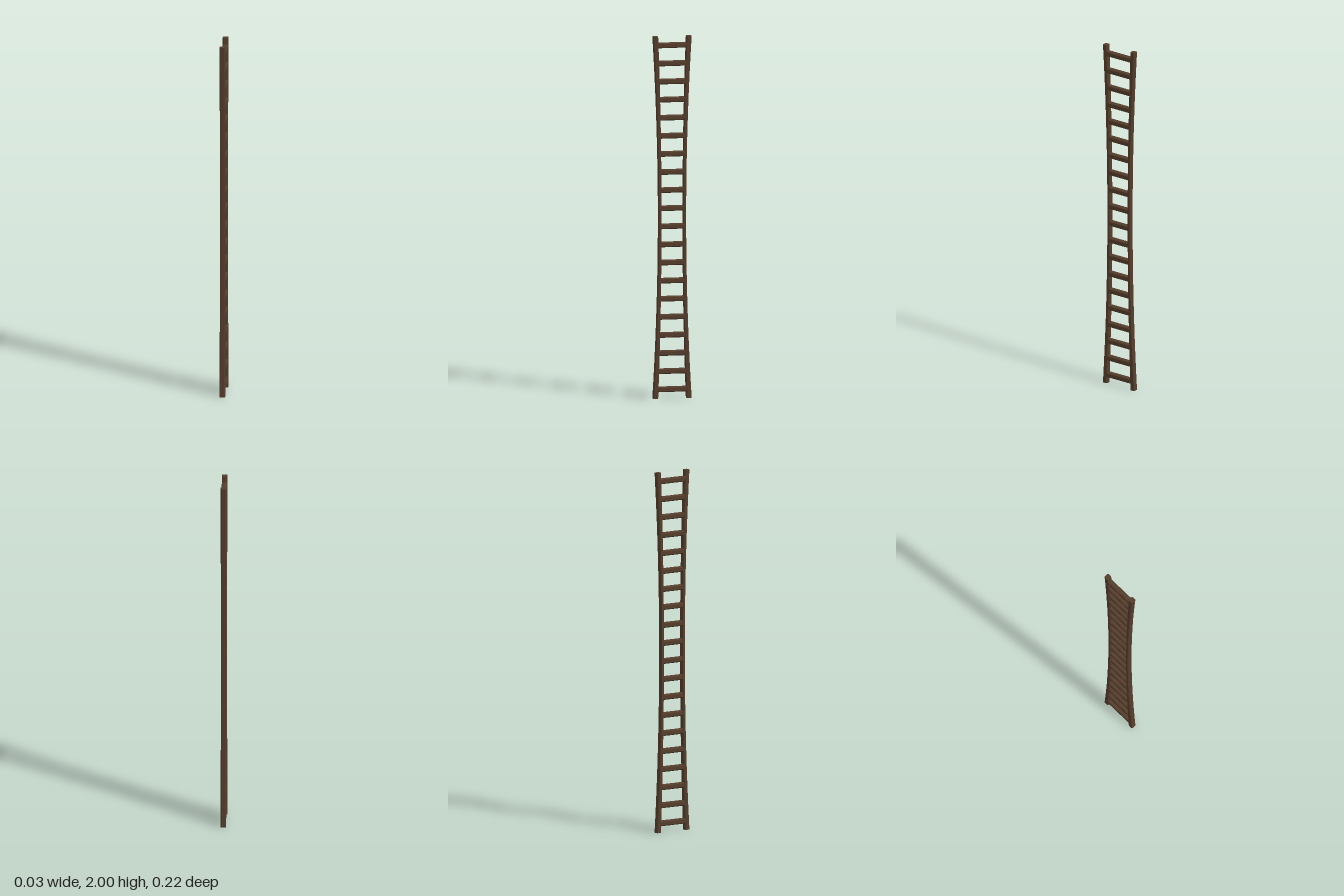
import * as THREE from 'three';

const HEIGHT = 2;
const RUNGS = 20;

// how far towards an end of the ladder a height is: 0 mid-way, 1 at the ends
const flare = (y) => Math.pow(Math.abs(y - HEIGHT / 2) / (HEIGHT / 2), 2);
const railCentre = (y) => 0.069 + 0.025 * flare(y);
const railHalf = (y) => 0.008 + 0.006 * flare(y);

// rectangle with cut corners
function chamferedRect(hw, hh, cx, cy) {
  return new THREE.Shape([
    [hw - cx, -hh], [hw, -hh + cy], [hw, hh - cy], [hw - cx, hh],
    [-hw + cx, hh], [-hw, hh - cy], [-hw, -hh + cy], [-hw + cx, -hh],
  ].map(([x, y]) => new THREE.Vector2(x, y)));
}

// upright post, bent outward and thickened towards both ends
function railGeometry(side) {
  const g = new THREE.ExtrudeGeometry(chamferedRect(0.015, 1, 0.004, 0.28), {
    depth: HEIGHT, steps: 20, bevelEnabled: false,
  });
  g.rotateX(-Math.PI / 2);
  const p = g.attributes.position;
  for (let i = 0; i < p.count; i++) {
    const y = p.getY(i);
    p.setZ(i, side * railCentre(y) + p.getZ(i) * railHalf(y));
  }
  g.computeVertexNormals();
  return g;
}

export function createModel() {
  const wood = new THREE.MeshStandardMaterial({ color: 0x553d2b, flatShading: true });
  const ladder = new THREE.Group();
  ladder.name = 'ladder';

  const add = (geometry, name) => {
    const mesh = new THREE.Mesh(geometry, wood);
    mesh.name = name;
    ladder.add(mesh);
    return mesh;
  };

  // side rails
  add(railGeometry(1), 'frontRail');
  add(railGeometry(-1), 'backRail');

  // evenly spaced rungs, let into the rails
  const profile = chamferedRect(0.0145, 0.0145, 0.005, 0.005);
  for (let i = 0; i < RUNGS; i++) {
    const y = (i + 0.5) * HEIGHT / RUNGS;
    const length = 2 * railCentre(y);
    const g = new THREE.ExtrudeGeometry(profile, { depth: length, bevelEnabled: false });
    g.translate(0, 0, -length / 2);
    add(g, 'rung' + (i + 1)).position.y = y;
  }
  return ladder;
}
